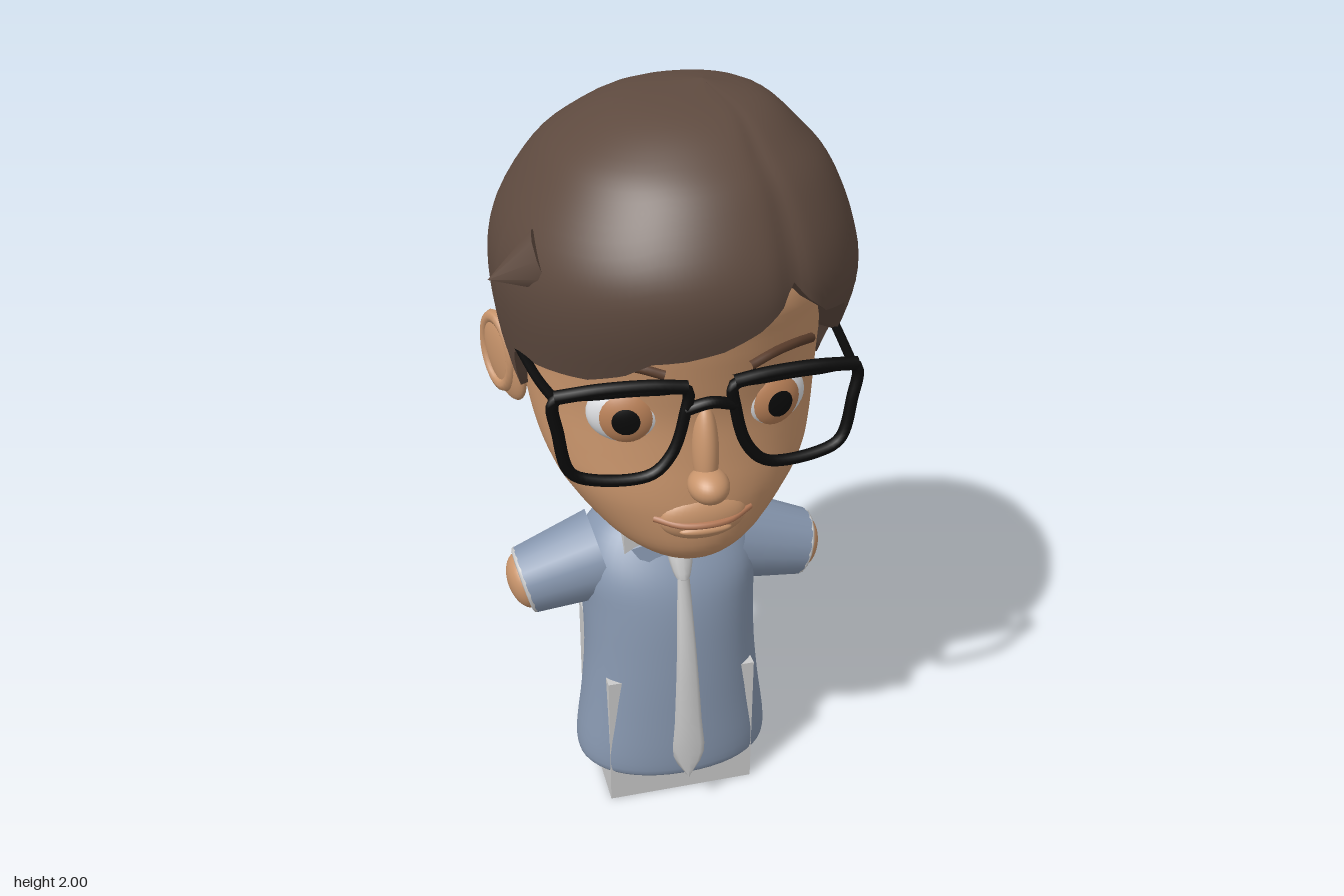
import * as THREE from 'three';

const mat = (name, color, side = THREE.FrontSide) => {
  const m = new THREE.MeshStandardMaterial({ color, side });
  m.name = name;
  return m;
};
const V = (x, y, z) => new THREE.Vector3(x, y, z);

// Smooth sampler through rows of [y, halfWidth, zFront, zBack, xCentre]
function sampler(rows) {
  const full = rows.map(r => [...r, 0].slice(0, 5));
  const c = new THREE.CubicInterpolant(full.map((_, i) => i), full.flat(), 5);
  return t => Array.from(c.evaluate(t));
}

// Point on an oval cross-section at azimuth a (0 = front, growing to +x)
function ringPoint([y, rx, zf, zb, cx], a, power) {
  const f = v => Math.sign(v) * Math.pow(Math.abs(v), 2 / power);
  return V(cx + rx * f(Math.sin(a)), y, (zf + zb) / 2 + (zf - zb) / 2 * f(Math.cos(a)));
}

// Closed-around surface from point(row, azimuth), rows running downwards
function surface(rowCount, segs, point) {
  const pos = [], index = [];
  for (let j = 0; j < rowCount; j++) {
    for (let i = 0; i < segs; i++) {
      pos.push(...point(j, i / segs * Math.PI * 2).toArray());
      if (j === rowCount - 1) continue;
      const a = j * segs + i, b = j * segs + (i + 1) % segs;
      index.push(a, a + segs, b + segs, a, b + segs, b);
    }
  }
  const g = new THREE.BufferGeometry();
  g.setAttribute('position', new THREE.Float32BufferAttribute(pos, 3));
  g.setIndex(index);
  g.computeVertexNormals();
  return g;
}

function loft(rows, power = 2, segs = 48, steps = 4) {
  const s = sampler(rows), n = (rows.length - 1) * steps;
  return surface(n + 1, segs, (j, a) => ringPoint(s(j / steps), a, power));
}

// Lower hair edge: [azimuth in degrees, height]
const HAIRLINE = [[-180, 1.09], [-150, 1.1], [-125, 1.17], [-110, 1.2], [-102, 1.35], [-95, 1.4], [-88, 1.39],
  [-83, 1.28], [-76, 1.41], [-58, 1.42], [-40, 1.43], [-28, 1.46], [-20, 1.5], [-10, 1.51], [0, 1.53], [10, 1.57],
  [18, 1.62], [22, 1.67], [27, 1.62], [35, 1.57], [48, 1.55], [56, 1.48], [65, 1.41], [76, 1.4], [83, 1.28],
  [88, 1.39], [95, 1.4], [102, 1.35], [110, 1.2], [125, 1.17], [150, 1.1], [180, 1.09]];
function hairEdge(deg) {
  const k = Math.max(1, HAIRLINE.findIndex(p => p[0] >= deg));
  const [a, b] = [HAIRLINE[k - 1], HAIRLINE[k]];
  return a[1] + (b[1] - a[1]) * (deg - a[0]) / (b[0] - a[0]);
}

function hairGeometry() {
  const rows = [[2, 0, 0, 0, 0.08], [1.97, 0.17, 0.19, -0.18, 0.05], [1.9, 0.28, 0.32, -0.3, 0.025],
    [1.82, 0.355, 0.4, -0.395, 0.02], [1.69, 0.42, 0.47, -0.47, 0.01], [1.56, 0.44, 0.468, -0.48, 0.01],
    [1.37, 0.405, 0.4, -0.44, 0], [1.235, 0.365, 0.36, -0.365, 0], [1.085, 0.3, 0.3, -0.215, 0]];
  const s = sampler(rows), M = 26;
  return surface(M + 3, 144, (j, a) => {
    const deg = (a * 180 / Math.PI + 180) % 360 - 180;
    const edge = hairEdge(deg);
    let lo = 0, hi = rows.length - 1;
    for (let k = 0; k < 24; k++) {
      const mid = (lo + hi) / 2;
      if (s(mid)[0] > edge) lo = mid; else hi = mid;
    }
    const p = ringPoint(s(lo * Math.min(j / M, 1)), a, Math.cos(a) > 0 ? 2.05 : 2.25);
    const groove = 1 - 0.025 * Math.exp(-(((deg - 22) / 5) ** 2));
    const inset = j === M + 2 ? 0.84 : 1; // turned-in rim
    p.x *= groove * inset;
    p.z *= groove * inset;
    if (j === M + 2) p.y += 0.015;
    return p;
  });
}

export function createModel() {
  const model = new THREE.Group();
  const skin = mat('skin', 0xc9956c), hair = mat('hair brown', 0x5e4a3f, THREE.DoubleSide);
  const shirt = mat('shirt blue', 0x8797af, THREE.DoubleSide), grey = mat('light grey', 0xcacaca, THREE.DoubleSide);
  const black = mat('black', 0x0a0a0a), white = mat('eye white', 0xdcdde0);
  const irisMat = mat('iris tan', 0xbb8259), lip = mat('lip', 0xb67a58), brow = mat('brow brown', 0x5a3d2c);

  const add = (name, geo, material, pos = [0, 0, 0], scale = [1, 1, 1], rot = [0, 0, 0]) => {
    const m = new THREE.Mesh(geo, material);
    m.name = name;
    m.position.set(...pos);
    m.scale.set(...scale);
    m.rotation.set(...rot);
    model.add(m);
    return m;
  };
  const tube = (name, pts, r, material, closed = false) => add(name,
    new THREE.TubeGeometry(new THREE.CatmullRomCurve3(pts.map(p => V(...p)), closed), closed ? 64 : 16, r, 8, closed), material);
  const ball = new THREE.SphereGeometry(1, 32, 20);
  const cap = angle => new THREE.SphereGeometry(1, 24, 8, 0, Math.PI * 2, 0, angle).rotateX(Math.PI / 2);

  // Plain blocks for the lower body and neck
  add('hipBlock', new THREE.BoxGeometry(0.41, 0.41, 0.41), grey, [0, 0.205, -0.05]);
  add('neckBlock', new THREE.BoxGeometry(0.28, 0.28, 0.28), grey, [0, 0.895, -0.055]);

  // Shirt body, collar and tie
  add('shirtBody', loft([[0.865, 0.1, 0.03, -0.15], [0.84, 0.17, 0.07, -0.18], [0.78, 0.225, 0.115, -0.2],
    [0.7, 0.245, 0.16, -0.205], [0.6, 0.238, 0.185, -0.2], [0.45, 0.238, 0.2, -0.178], [0.3, 0.252, 0.208, -0.165],
    [0.14, 0.272, 0.212, -0.16], [0.09, 0.25, 0.195, -0.14], [0.075, 0.15, 0.12, -0.08], [0.075, 0, 0.02, 0.02]], 2.15), shirt);
  const collar = loft([[0.875, 0.145, 0.07, -0.175], [0.85, 0.16, 0.085, -0.19], [0.8, 0.18, 0.11, -0.205]], 2.1);
  const cp = collar.attributes.position;
  for (let i = 0; i < cp.count; i++) cp.setY(i, cp.getY(i) - 0.25 * (cp.getZ(i) + 0.1));
  collar.computeVertexNormals();
  add('collar', collar, shirt);
  add('tieKnot', loft([[0.82, 0.02, 0.12, 0.08], [0.81, 0.038, 0.15, 0.09], [0.735, 0.02, 0.175, 0.13],
    [0.73, 0, 0.16, 0.16]], 2, 12), grey);
  add('tie', loft([[0.745, 0.016, 0.172, 0.15], [0.5, 0.028, 0.215, 0.195], [0.3, 0.038, 0.235, 0.215],
    [0.19, 0.043, 0.24, 0.225], [0.11, 0, 0.24, 0.235]], 2, 8, 3), grey);

  // Head, nose and mouth
  add('head', loft([[1.8, 0, 0, 0], [1.74, 0.27, 0.27, -0.3], [1.6, 0.375, 0.385, -0.4], [1.5, 0.382, 0.382, -0.41],
    [1.4, 0.374, 0.365, -0.39], [1.3, 0.366, 0.35, -0.345], [1.2, 0.35, 0.353, -0.275], [1.12, 0.325, 0.36, -0.2],
    [1.05, 0.288, 0.362, -0.17], [0.96, 0.22, 0.352, -0.13], [0.91, 0.16, 0.325, -0.05], [0.88, 0.095, 0.28, 0.06],
    [0.87, 0, 0.2, 0.2]]), skin);
  add('noseTip', ball, skin, [0, 1.15, 0.385], [0.05, 0.042, 0.06]);
  add('noseBridge', ball, skin, [0, 1.23, 0.35], [0.032, 0.12, 0.042], [-0.15, 0, 0]);
  add('mouthArea', ball, skin, [0, 1.04, 0.335], [0.11, 0.065, 0.042]);
  tube('upperLip', [[-0.12, 1.045, 0.334], [-0.06, 1.035, 0.368], [0, 1.034, 0.378], [0.06, 1.035, 0.368], [0.12, 1.045, 0.334]], 0.009, lip);
  add('lowerLip', ball, skin, [0, 1.015, 0.365], [0.065, 0.014, 0.018]);

  // Hair with a side tuft
  add('hair', hairGeometry(), hair);
  const tuft = add('hairTuft', new THREE.ConeGeometry(0.075, 0.14, 10), hair, [-0.4, 1.655, 0.19], [1, 1, 0.6]);
  tuft.quaternion.setFromUnitVectors(V(0, 1, 0), V(-0.86, -0.38, -0.32).normalize());

  // Paired parts
  for (const [s, side] of [[1, 'left'], [-1, 'right']]) {
    // Sleeve, cuff and arm stump
    const from = V(s * 0.18, 0.715, -0.04), to = V(s * 0.387, 0.658, -0.04);
    const dir = to.clone().sub(from), axis = dir.clone().normalize();
    const sleeve = add(side + 'Sleeve', new THREE.CylinderGeometry(0.095, 0.125, dir.length(), 16, 3, true), shirt,
      from.clone().lerp(to, 0.5).toArray());
    sleeve.quaternion.setFromUnitVectors(V(0, 1, 0), axis);
    const cuff = add(side + 'Cuff', new THREE.TorusGeometry(0.086, 0.009, 8, 16), grey, to.toArray());
    cuff.quaternion.setFromUnitVectors(V(0, 0, 1), axis);
    const arm = add(side + 'ArmStump', ball, skin, to.toArray(), [0.08, 0.048, 0.08]);
    arm.quaternion.setFromUnitVectors(V(0, 1, 0), axis);

    // Collar flap
    const flap = new THREE.Shape([[0.035, 0.8], [0.065, 0.835], [0.135, 0.8], [0.1, 0.755], [0.07, 0.78]]
      .map(([x, y]) => new THREE.Vector2(s * x, y)));
    add(side + 'CollarFlap', new THREE.ShapeGeometry(flap), shirt, [0, 0, 0.15], [1, 1, 1], [0, s * 0.4, 0]);

    // Ear with a raised rim
    add(side + 'Ear', ball, skin, [s * 0.398, 1.305, -0.09], [0.026, 0.115, 0.08], [-0.35, s * -0.35, s * -0.2]);
    add(side + 'EarRim', new THREE.TorusGeometry(0.078, 0.016, 8, 28), skin, [s * 0.413, 1.32, -0.1],
      [0.85, 1.15, 1], [0, s * (Math.PI / 2 - 0.35), s * -0.12]);

    // Eye, iris, pupil and brow
    const yaw = [0, s * 0.25, 0], ex = s * 0.174;
    add(side + 'Eye', ball, white, [ex, 1.317, 0.285], [0.094, 0.076, 0.047], yaw);
    add(side + 'Iris', cap(0.89), irisMat, [ex, 1.317, 0.289], [0.08, 0.08, 0.05], yaw);
    add(side + 'Pupil', cap(0.43), black, [ex, 1.317, 0.292], [0.08, 0.08, 0.051], yaw);
    tube(side + 'Brow', [[s * 0.1, 1.44, 0.362], [s * 0.16, 1.457, 0.343], [s * 0.22, 1.457, 0.31], [s * 0.285, 1.437, 0.25]],
      0.012, brow);

    // Glasses rim and temple arm
    const rim = [[0.055, 1.41], [0.13, 1.42], [0.25, 1.422], [0.355, 1.412], [0.35, 1.33], [0.325, 1.225],
      [0.27, 1.2], [0.14, 1.2], [0.09, 1.25], [0.06, 1.35]];
    tube(side + 'GlassesRim', rim.map(([x, y]) => [s * x, y, 0.39 - 0.15 * x * x]), 0.0145, black, true);
    tube(side + 'GlassesTopBar', rim.slice(0, 4).map(([x, y]) => [s * x, y + 0.008, 0.39 - 0.15 * x * x]), 0.017, black);
    tube(side + 'GlassesArm', [[s * 0.35, 1.41, 0.37], [s * 0.37, 1.408, 0.25], [s * 0.39, 1.42, 0.08]], 0.012, black);
  }
  tube('glassesBridge', [[-0.06, 1.36, 0.39], [0, 1.375, 0.395], [0.06, 1.36, 0.39]], 0.015, black);

  return model;
}
